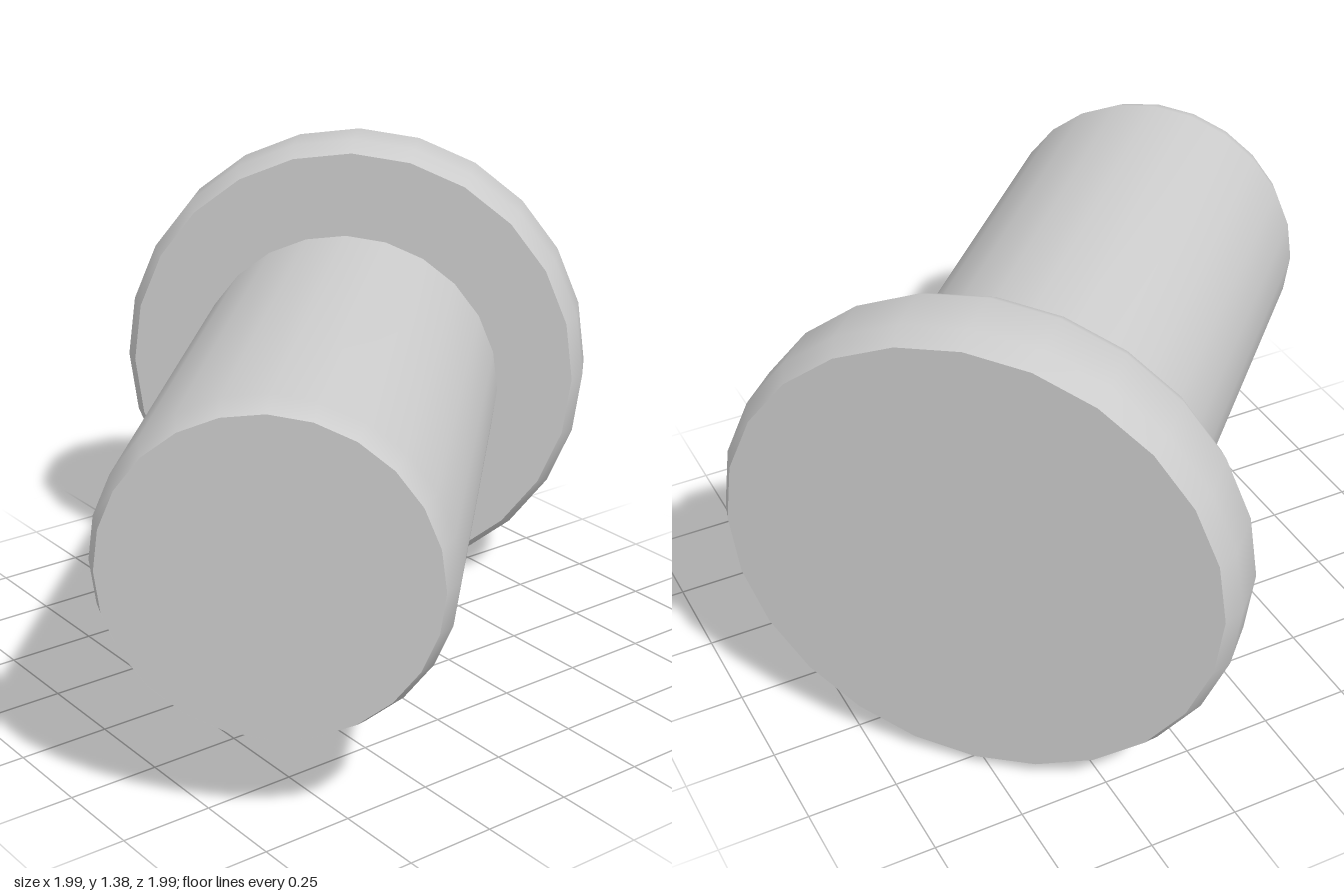
import * as THREE from 'three';
import { mergeGeometries } from 'three/addons/utils/BufferGeometryUtils.js';

const SIDES = 24;

// Solid of revolution: smooth rounded side, crisp flat ends. Profile is [radius, height], low to high.
function turnedSolid(profile) {
  const side = new THREE.LatheGeometry(profile.map(([r, h]) => new THREE.Vector2(r, h)), SIDES);
  const [r0, h0] = profile[0];
  const [r1, h1] = profile[profile.length - 1];
  const bottom = new THREE.CircleGeometry(r0, SIDES).rotateX(Math.PI / 2).translate(0, h0, 0);
  const top = new THREE.CircleGeometry(r1, SIDES).rotateX(-Math.PI / 2).translate(0, h1, 0);
  return mergeGeometries([side, bottom, top]);
}

export function createModel() {
  const model = new THREE.Group();
  model.name = 'buttonPlunger';

  const grey = new THREE.MeshStandardMaterial({ color: 0xcccccc });
  grey.name = 'plain grey';

  const parts = {
    // Long cylinder with bevelled rims
    shaft: [[0.42, -0.99], [0.447, -0.925], [0.447, 0.39], [0.42, 0.453]],
    // Recessed neck joining shaft and disc
    neck: [[0.42, 0.453], [0.36, 0.477], [0.36, 0.507]],
    // Wide bevelled disc
    disc: [[0.66, 0.506], [0.69, 0.557], [0.69, 0.697], [0.66, 0.75]],
  };

  for (const [name, profile] of Object.entries(parts)) {
    const mesh = new THREE.Mesh(turnedSolid(profile), grey);
    mesh.name = name;
    model.add(mesh);
  }

  // Lay the common axis level, pointing diagonally to the back left
  const axis = new THREE.Vector3(1, 0, -1).normalize();
  model.quaternion.setFromUnitVectors(new THREE.Vector3(0, 1, 0), axis);
  model.position.y = 0.69;

  const root = new THREE.Group();
  root.name = 'model';
  root.add(model);
  return root;
}
